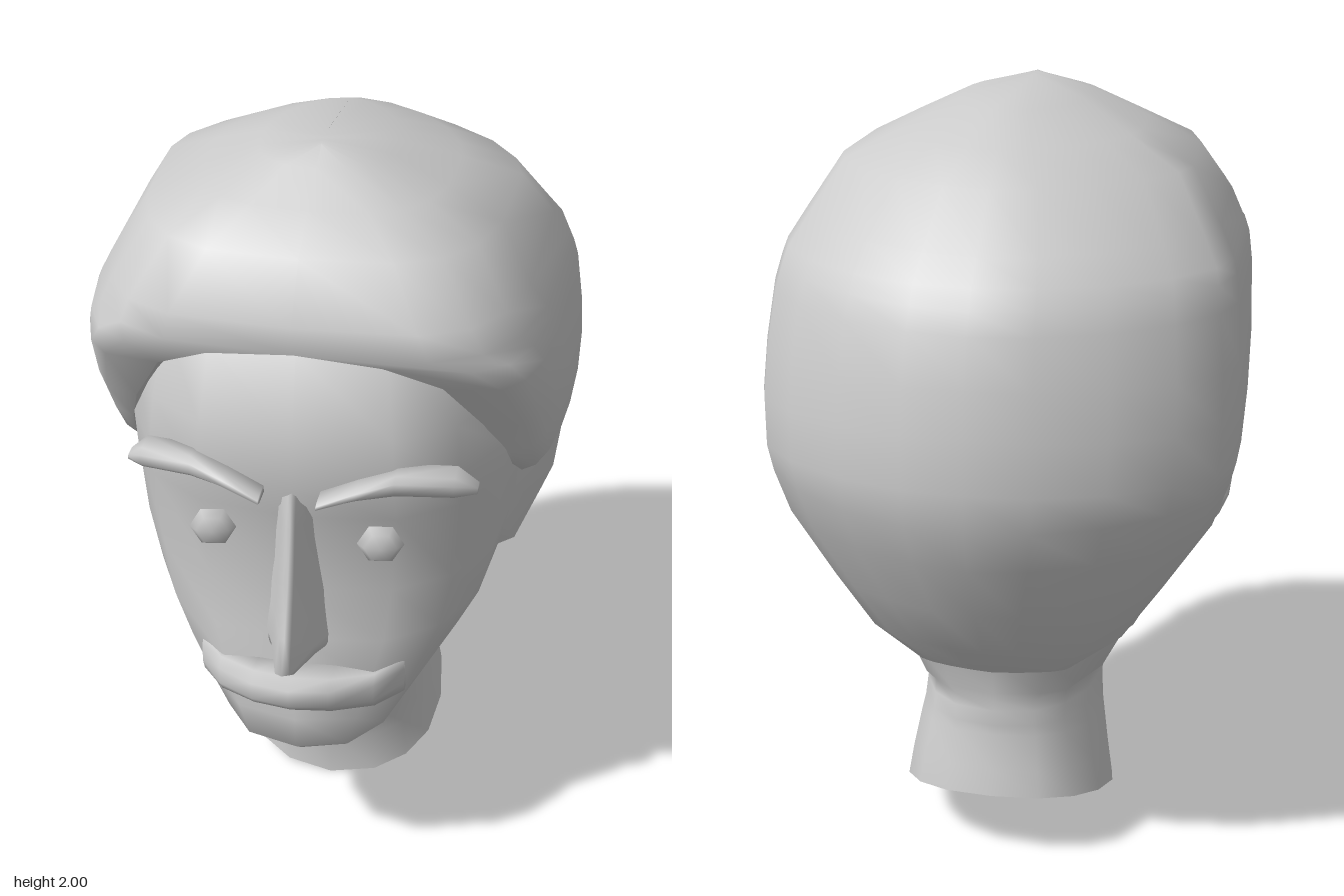
import * as THREE from 'three';
import { mergeVertices } from 'three/addons/utils/BufferGeometryUtils.js';

const material = new THREE.MeshStandardMaterial({ color: 0xcccccc, side: THREE.DoubleSide });

// Skin a grid of points: rows run downwards, points in a row run counter-clockwise seen from above.
function loft(name, rows) {
  const n = rows[0].length, index = [];
  for (let i = 0; i < rows.length - 1; i++) {
    for (let j = 0; j < n - 1; j++) {
      const a = i * n + j, b = a + n;
      index.push(a, b, b + 1, a, b + 1, a + 1);
    }
  }
  const geometry = new THREE.BufferGeometry();
  geometry.setAttribute('position', new THREE.Float32BufferAttribute(rows.flat(2), 3));
  geometry.setIndex(index);
  const merged = mergeVertices(geometry, 1e-4);
  merged.computeVertexNormals();
  const mesh = new THREE.Mesh(merged, material);
  mesh.name = name;
  return mesh;
}

const pow = (v, p) => Math.sign(v) * Math.pow(Math.abs(v), p);
const flip = ([x, y, z]) => [-x, y, z];

// Closed superellipse section of the head; yBack tilts it.
function headRing([y, w, zf, zb, zm = 0, yBack = y]) {
  const ring = [];
  for (let j = 0; j <= 16; j++) {
    const t = -Math.PI + (j / 16) * Math.PI * 2;
    const c = Math.cos(t), p = c > 0 && y > 0.4 ? 0.76 : 0.84;
    const z = zm + pow(c, p) * (c > 0 ? zf - zm : zm - zb);
    const k = Math.pow(Math.max(0, (zf - z) / (zf - zb)), 0.72);
    ring.push([w * pow(Math.sin(t), p), y + (yBack - y) * k, z]);
  }
  return ring;
}

// Hair section from the hairline (xe, ze) round the back to its mirror image.
function hairRow([y, w, zm, zb, xe, ze, p, yBack = y]) {
  const half = [], n = 5;
  for (let j = 0; j <= n * 2; j++) {
    const t = ((j % n) / n) * Math.PI / 2;
    const c = Math.cos(t), s = Math.sin(t);
    const yj = y + (yBack - y) * (j / (n * 2));
    if (j < n) half.push([xe + (w - xe) * pow(s, p), yj, zm + (ze - zm) * pow(c, p)]);
    else if (j < n * 2) half.push([w * pow(c, 1.15), yj, zm + (zb - zm) * pow(s, 1.15)]);
    else half.push([0, yj, zb]);
  }
  return [...half, ...half.slice(0, -1).reverse().map(flip)];
}

// Bar running along x; stations are [x, yBottom, yTop, zFront, depth].
function bar(name, stations) {
  const rows = stations.map(([x, y0, y1, z, d]) => [
    [x, y0, z - d * 0.25], [x, (y0 * 2 + y1) / 3, z], [x, (y0 + y1 * 4) / 5, z],
    [x, y1, z - d * 0.25], [x, y1, z - d], [x, y0, z - d], [x, y0, z - d * 0.25],
  ]);
  const cap = (row) => row.map(() => [row[0][0], (row[0][1] + row[3][1]) / 2, (row[4][2] + row[1][2]) / 2]);
  return loft(name, [cap(rows[0]), ...rows, cap(rows[rows.length - 1])]);
}

function mirrorPair(group, make, name) {
  for (const side of [1, -1]) {
    const mesh = make();
    mesh.name = (side > 0 ? 'left' : 'right') + name;
    mesh.scale.x *= side;
    mesh.position.x *= side;
    group.add(mesh);
  }
}

export function createModel() {
  const model = new THREE.Group();
  model.name = 'headBust';

  // Head, jaw and open neck: [y, halfWidth, zFront, zBack, zWidest, yBack]
  const head = [
    [1.80, 0.02, 0.05, -0.05],
    [1.75, 0.32, 0.35, -0.40],
    [1.60, 0.45, 0.54, -0.52],
    [1.40, 0.49, 0.59, -0.60],
    [1.27, 0.505, 0.61, -0.62],
    [1.17, 0.505, 0.57, -0.61],
    [0.95, 0.485, 0.555, -0.57],
    [0.80, 0.45, 0.57, -0.50],
    [0.70, 0.395, 0.59, -0.45],
    [0.57, 0.32, 0.605, -0.41],
    [0.48, 0.27, 0.60, -0.40],
    [0.42, 0.235, 0.53, -0.40, 0, 0.46],
    [0.385, 0.235, 0.36, -0.40, -0.05, 0.43],
    [0.355, 0.235, 0.22, -0.405, -0.1, 0.39],
    [0.26, 0.245, 0.16, -0.40, -0.12, 0.36],
    [0.13, 0.265, 0.12, -0.425, -0.14, 0.27],
    [0.0, 0.28, 0.12, -0.44, -0.14, 0.2],
  ];
  model.add(loft('headAndNeck', head.map(headRing)));

  // Hair: [y, halfWidth, zWidest, zBack, hairlineX, hairlineZ, squareness, yBack]
  const hair = [
    [2.00, 0.0, 0.18, 0.12, 0, 0.22, 1],
    [1.965, 0.17, 0.08, -0.16, 0, 0.28, 0.7],
    [1.90, 0.31, 0.0, -0.32, 0, 0.385, 0.65],
    [1.83, 0.45, -0.08, -0.43, 0, 0.495, 0.6],
    [1.70, 0.53, -0.15, -0.57, 0, 0.59, 0.5],
    [1.62, 0.57, -0.2, -0.625, 0, 0.57, 0.5, 1.64],
    [1.60, 0.58, -0.22, -0.65, 0.21, 0.56, 0.5, 1.59],
    [1.53, 0.59, -0.26, -0.68, 0.345, 0.505, 0.5, 1.54],
    [1.36, 0.605, -0.3, -0.715, 0.44, 0.38, 0.6, 1.42],
    [1.23, 0.61, -0.33, -0.735, 0.485, 0.27, 0.75, 1.30],
    [1.12, 0.605, -0.34, -0.75, 0.51, 0.17, 0.9, 1.17],
    [1.115, 0.59, -0.34, -0.735, 0.53, 0.02, 0.9, 1.06],
    [1.00, 0.55, -0.34, -0.695, 0.52, -0.20, 1, 0.95],
    [0.80, 0.43, -0.36, -0.62, 0.43, -0.25, 1],
    [0.66, 0.33, -0.37, -0.53, 0.35, -0.29, 1],
    [0.58, 0.2, -0.39, -0.435, 0.22, -0.37, 1, 0.56],
  ].map(hairRow);
  model.add(loft('hair', hair));

  // Underside of the hair, tucked in to the skull
  const sideEdge = hair.slice(5).map((row) => row[0]);
  const edge = [...sideEdge, ...hair[hair.length - 1], ...sideEdge.map(flip).reverse()];
  model.add(loft('hairRim', [edge, edge.map(([x, y, z]) => [x * 0.86, y + 0.03, z * 0.87])]));

  // Nose: [y, halfWidth, zBase, zRidge]
  const nose = [
    [1.27, 0.035, 0.57, 0.605], [1.17, 0.035, 0.55, 0.628], [1.03, 0.045, 0.53, 0.665],
    [0.90, 0.052, 0.53, 0.71], [0.82, 0.06, 0.53, 0.75],
    [0.785, 0.06, 0.53, 0.70], [0.76, 0.035, 0.53, 0.61],
  ].map(([y, w, z0, z1]) => {
    const half = [[w * 1.5, y, z0], [w * 0.9, y, z0 + (z1 - z0) * 0.4], [w * 0.3, y, z1 - 0.008]];
    return [...half.map(flip), [0, y, z1], ...half.reverse()];
  });
  model.add(loft('nose', nose));

  // Moustache
  const tip = [[0.265, 0.613, 0.715, 0.5, 0.06], [0.2, 0.612, 0.712, 0.585, 0.1], [0.1, 0.63, 0.73, 0.655, 0.12]];
  model.add(bar('moustache', [
    ...tip.map(([x, ...rest]) => [-x, ...rest]), [0, 0.637, 0.738, 0.68, 0.13], ...[...tip].reverse(),
  ]));

  // Eyebrows
  mirrorPair(model, () => bar('eyebrow', [
    [0.07, 1.252, 1.272, 0.665, 0.07], [0.16, 1.27, 1.305, 0.64, 0.07], [0.25, 1.277, 1.332, 0.615, 0.08],
    [0.385, 1.257, 1.31, 0.565, 0.08], [0.435, 1.24, 1.255, 0.5, 0.04],
  ]), 'Eyebrow');

  // Six-sided eyes
  mirrorPair(model, () => {
    const geometry = new THREE.SphereGeometry(0.058, 6, 4).rotateX(Math.PI / 2).rotateZ(Math.PI / 3);
    const eye = new THREE.Mesh(geometry, material);
    eye.scale.z = 0.5;
    eye.position.set(0.21, 1.11, 0.557);
    eye.rotation.y = 0.15;
    return eye;
  }, 'Eye');

  // Ears: [y, front x, front z, outer x, outer z], growing out of the side of the head
  const ear = [
    [1.165, 0.53, -0.02, 0.59, -0.08], [1.11, 0.47, 0.08, 0.587, -0.1], [0.97, 0.46, 0.08, 0.57, -0.125],
    [0.91, 0.45, 0.08, 0.545, -0.11], [0.80, 0.43, 0.06, 0.485, -0.01],
  ].map(([y, x0, z0, x1, z1]) => [
    [x0 - 0.03, y, z0], [x0, y, z0], [x1, y, z1 + 0.015], [x1 - 0.015, y, z1], [0.42, y, -0.19], [x0 - 0.03, y, z0],
  ]);
  const earEnd = (row) => row.map(() => [row[1][0], row[0][1], (row[3][2] + row[0][2]) / 2]);
  mirrorPair(model, () => loft('ear', [earEnd(ear[0]), ...ear, earEnd(ear[4])]), 'Ear');

  return model;
}
